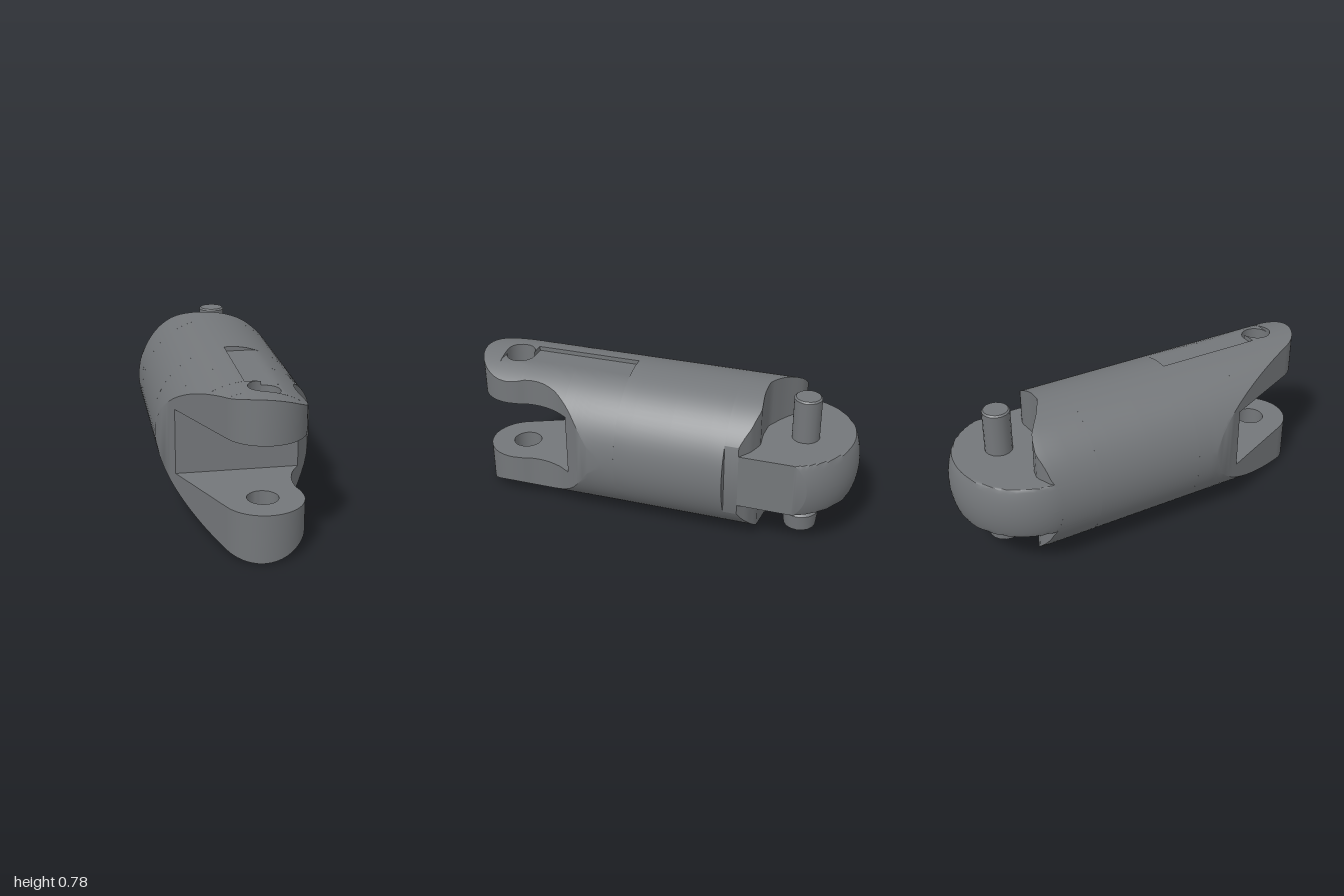
import * as THREE from 'three';
import { mergeGeometries, toCreasedNormals } from 'three/addons/utils/BufferGeometryUtils.js';

const R = 0.39, CY = 0.39;                 // round stock running along z
const HOLE = { x: 0.05, z: 0.8, r: 0.075 };
const SLOT_X = HOLE.x - HOLE.r;
const lerp = THREE.MathUtils.lerp;
const fn = (f) => (typeof f === 'function' ? f : () => f);
const ease = (t) => (1 - Math.cos(Math.PI * t)) / 2;
const root = (v) => Math.sqrt(Math.max(0, v));

// piecewise linear curve through [input, output] pairs
const curve = (pts) => (t) => {
  for (let i = 1; i < pts.length; i++) {
    const [a, b] = [pts[i - 1], pts[i]];
    if (t <= b[0]) return lerp(a[1], b[1], Math.max(0, (t - a[0]) / (b[0] - a[0])));
  }
  return pts[pts.length - 1][1];
};

// half height of the stock, with a ball-shaped rear end
const half = (x, z) => root(R * R - x * x - Math.min(0, z + 0.61) ** 2);
const roundTop = (x, z) => CY + half(x, z);
const roundBottom = (x, z) => CY - half(x, z);
const slotTop = (x, z) => Math.min(roundTop(x, z), 0.757);
const slotBottom = (x, z) => Math.max(roundBottom(x, z), 0.023);

// plan outline of the front half
const noseArc = (z) => root(0.195 ** 2 - (z - HOLE.z) ** 2);
const slope = curve([[0.28, -R], [0.878, -0.129]]);
const waist = curve([[0.25, 0.39], [0.31, 0.385], [0.37, 0.36], [0.41, 0.33], [0.46, 0.295],
  [0.52, 0.257], [0.58, 0.234], [0.64, 0.224], [0.7, 0.226], [0.75, 0.24], [0.8, 0.245]]);
const left = (z) => (z > 0.878 ? HOLE.x - noseArc(z) : slope(z));
const right = (z) => (z > HOLE.z ? HOLE.x + noseArc(z) : waist(z));
const holeHalf = (z) => root(HOLE.r ** 2 - (z - HOLE.z) ** 2);

// box bent to fit between plan limits and upper / lower surfaces
function block(x0, x1, z0, z1, bottom, top, nx = 16, nz = 12) {
  [x0, x1, z0, z1, bottom, top] = [x0, x1, z0, z1, bottom, top].map(fn);
  const g = new THREE.BoxGeometry(1, 1, 1, nx, 1, nz);
  const p = g.attributes.position;
  for (let i = 0; i < p.count; i++) {
    const u = ease(p.getX(i) + 0.5), v = ease(p.getZ(i) + 0.5);
    const zm = lerp(z0(0), z1(0), v);
    const x = lerp(x0(zm), x1(zm), u);
    const z = lerp(z0(x), z1(x), v);
    p.setXYZ(i, x, p.getY(i) > 0 ? top(x, z) : bottom(x, z), z);
  }
  return g;
}

export function createModel() {
  const model = new THREE.Group();
  const steel = new THREE.MeshStandardMaterial({ color: 0x74777a });
  steel.name = 'grey steel';
  const add = (name, geometry, crease = 0.6) => {
    const mesh = new THREE.Mesh(toCreasedNormals(geometry, crease), steel);
    mesh.name = name;
    model.add(mesh);
    return mesh;
  };

  // main body with a wavy rear face and shallow slots starting at the front
  const rearFace = curve([[-0.39, -0.6], [-0.35, -0.64], [-0.27, -0.675], [-0.2, -0.66],
    [-0.1, -0.585], [0, -0.53], [0.1, -0.525], [0.2, -0.535], [0.28, -0.505], [0.34, -0.46]]);
  add('body', mergeGeometries([
    block(-R, 0.34, rearFace, -0.39, roundBottom, roundTop, 40, 4),
    block(-R, R, -0.39, 0.17, roundBottom, roundTop, 40, 4),
    block(left, SLOT_X, 0.17, 0.46, roundBottom, roundTop, 20),
    block(SLOT_X, right, 0.17, 0.46, slotBottom, slotTop, 24),
  ]));

  // fork arms, each pierced by the pin hole
  const arm = (name, side) => {
    const upper = side > 0;
    const part = (x0, x1, z0, z1, slotted) => block(x0, x1, z0, z1,
      upper ? 0.568 : slotted ? slotBottom : roundBottom,
      upper ? (slotted ? slotTop : roundTop) : 0.238);
    const h0 = HOLE.z - HOLE.r, h1 = HOLE.z + HOLE.r;
    add(name, mergeGeometries([
      part(left, SLOT_X, 0.46, h0, false),
      part(SLOT_X, right, 0.46, h0, true),
      part(left, (z) => HOLE.x - holeHalf(z), h0, h1, false),
      part((z) => HOLE.x + holeHalf(z), right, h0, h1, true),
      part(left, right, h1, HOLE.z + 0.195, false),
    ]));
  };
  arm('upperForkArm', 1);
  arm('lowerForkArm', -1);

  // rear tongue with a ball-rounded end
  add('tongue', block(-R, 0.34, (x) => -0.61 - root(R * R - x * x), -0.46,
    (x, z) => Math.max(0.25, roundBottom(x, z)),
    (x, z) => Math.min(0.532, roundTop(x, z)), 48, 40));

  // hinge pin with a hollowed head at the bottom
  const profile = [[0, 0.06], [0.04, 0.06], [0.05, 0.015], [0.083, 0.02], [0.092, 0.105],
    [0.07, 0.125], [0.07, 0.752], [0.062, 0.76], [0, 0.76]];
  const pin = add('hingePin', new THREE.LatheGeometry(
    profile.map(([r, y]) => new THREE.Vector2(r, y)), 16));
  pin.position.set(0.05, 0, -0.73);

  return model;
}
